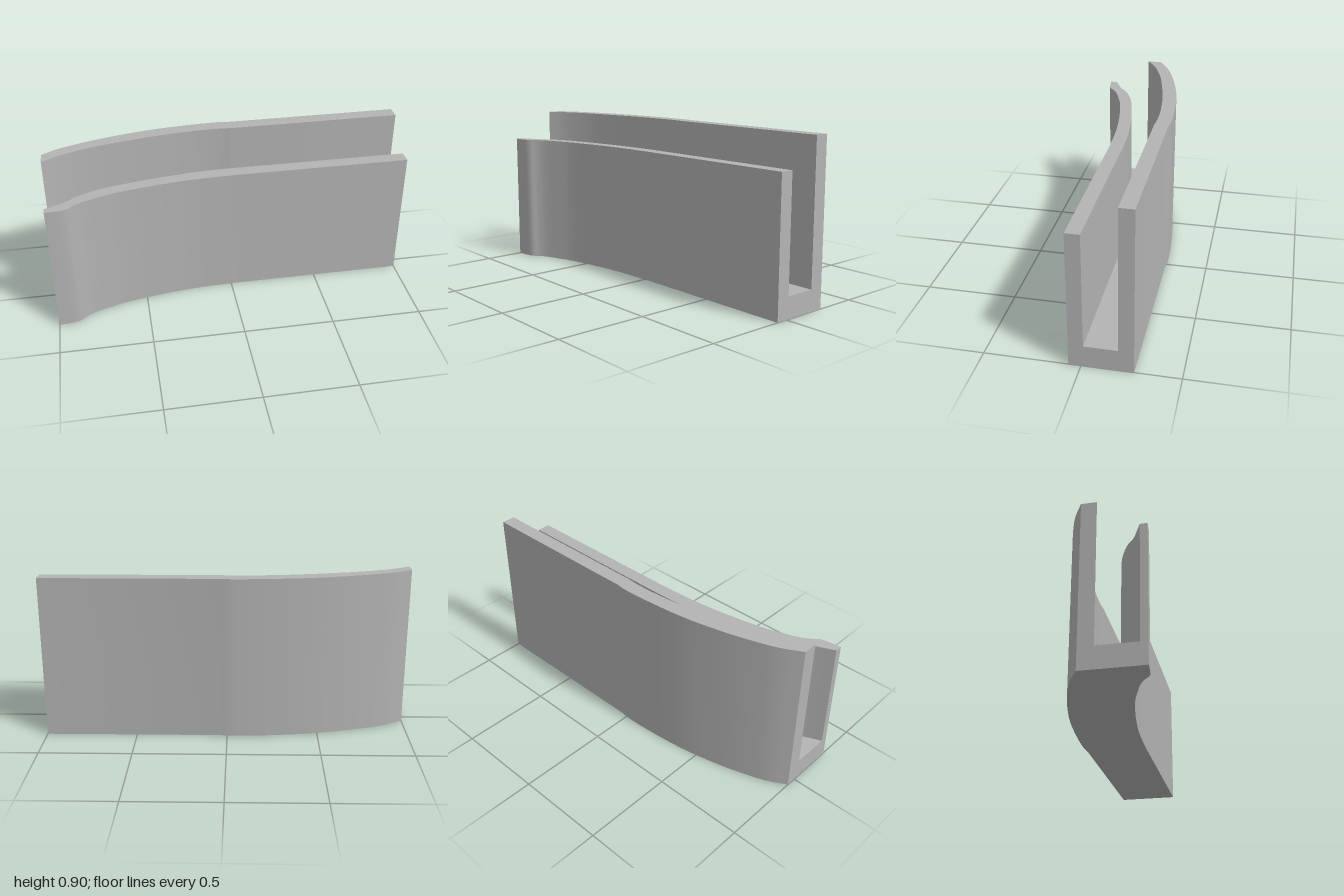
import * as THREE from 'three';
import { toCreasedNormals } from 'three/addons/utils/BufferGeometryUtils.js';

// Plan curves as [x, z]: a bend on the right, running on straight to x = 1
const backOuter = [[-1, -0.055], [-0.89, -0.115], [-0.73, -0.17], [-0.57, -0.211], [-0.4, -0.243], [-0.2, -0.263], [-0.06, -0.27], [0, -0.269], [0.04, -0.264]];
const backInner = [[-1, 0.025], [-0.9, -0.034], [-0.73, -0.094], [-0.53, -0.138], [-0.34, -0.17], [-0.17, -0.187], [-0.04, -0.191], [0.04, -0.186]];
const frontInner = [[-1, 0.235], [-0.89, 0.184], [-0.85, 0.152], [-0.8, 0.123], [-0.7, 0.084], [-0.52, 0.044], [-0.35, 0.016], [-0.15, -0.007], [0.03, -0.012]];
const frontOuter = [[-1, 0.273], [-0.895, 0.26], [-0.85, 0.226], [-0.8, 0.197], [-0.7, 0.161], [-0.6, 0.132], [-0.4, 0.096], [-0.2, 0.073], [0.03, 0.064]];

// Smooth the bend, then add the end of the straight run
function trace(points) {
  const v = points.map(([x, z]) => new THREE.Vector2(x, -z));
  const path = new THREE.SplineCurve(v).getPoints(32);
  path.push(new THREE.Vector2(1, v[v.length - 1].y));
  return path;
}

// Upright solid between two plan curves
function solid(name, front, back, height, material) {
  const shape = new THREE.Shape([...trace(front), ...trace(back).reverse()]);
  const geometry = new THREE.ExtrudeGeometry(shape, { depth: height, bevelEnabled: false });
  geometry.rotateX(-Math.PI / 2);
  const mesh = new THREE.Mesh(toCreasedNormals(geometry, 0.6), material);
  mesh.name = name;
  return mesh;
}

export function createModel() {
  const group = new THREE.Group();
  group.name = 'curvedChannel';
  const grey = new THREE.MeshStandardMaterial({ color: 0xb4b4b4 });
  grey.name = 'grey';

  group.add(
    solid('backWall', backInner, backOuter, 0.896, grey),
    solid('frontWall', frontOuter, frontInner, 0.74, grey),
    solid('channelFloor', frontInner, backInner, 0.118, grey)
  );
  return group;
}
